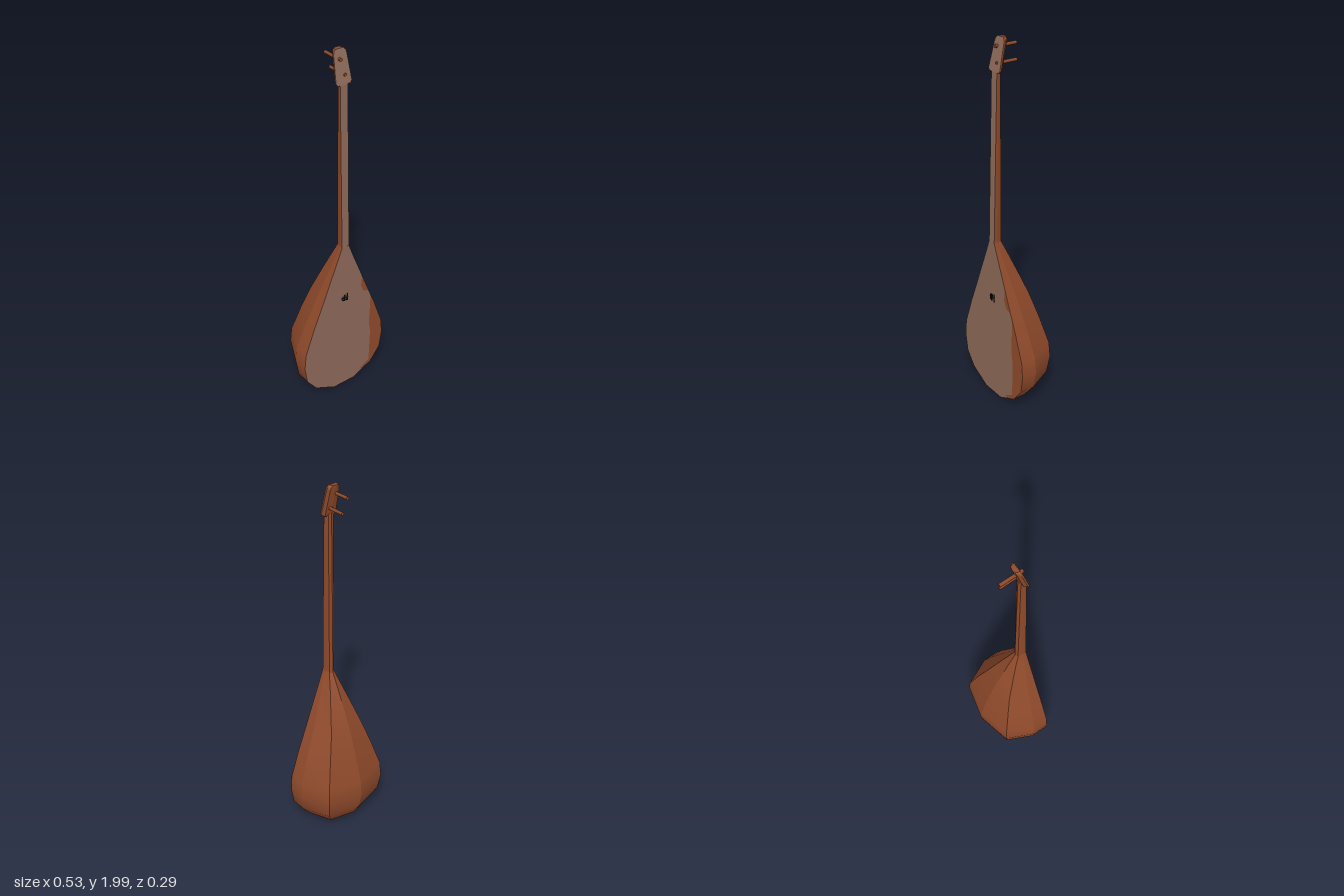
import * as THREE from 'three';

const wood = new THREE.MeshStandardMaterial({ color: 0x8f4a2b, side: THREE.DoubleSide });
wood.name = 'reddish wood';
const face = new THREE.MeshStandardMaterial({ color: 0x8d6a59, side: THREE.DoubleSide });
face.name = 'pale soundboard';
const black = new THREE.MeshStandardMaterial({ color: 0x0a0a0a });
black.name = 'black';

// Faceted half-round section: flat front, two side ribs, central ridge at the back
function section([y, w, back, front = 0.143]) {
  const d = front - back;
  const half = [[w, front], [w, front - 0.31 * d], [0.73 * w, front - 0.84 * d]];
  const pts = [...half, [0, back], ...half.map(([x, z]) => [-x, z]).reverse()];
  return pts.map(([x, z]) => [x, y, z]);
}

// One lengthwise strip between neighbouring section points, smooth along its length
function strip(sections, j) {
  const pos = [], idx = [];
  sections.forEach((s, i) => {
    pos.push(...s[j], ...s[(j + 1) % s.length]);
    if (i > 0) {
      const a = 2 * i - 2;
      idx.push(a, a + 1, a + 2, a + 1, a + 3, a + 2);
    }
  });
  return geometry(pos, idx);
}

function geometry(pos, idx) {
  const g = new THREE.BufferGeometry();
  g.setAttribute('position', new THREE.Float32BufferAttribute(pos, 3));
  g.setIndex(idx);
  g.computeVertexNormals();
  return g;
}

function cap(pts, up) {
  const idx = [];
  for (let k = 1; k < pts.length - 1; k++) idx.push(0, ...(up ? [k, k + 1] : [k + 1, k]));
  return geometry(pts.flat(), idx);
}

function add(parent, name, geo, mat) {
  const m = new THREE.Mesh(geo, mat);
  m.name = name;
  parent.add(m);
  return m;
}

// Closed lofted part with a pale front strip
function loft(name, rows) {
  const g = new THREE.Group();
  g.name = name;
  const s = rows.map(section), n = s[0].length;
  for (let j = 0; j < n; j++) {
    const front = j === n - 1;
    add(g, name + (front ? 'Front' : 'Rib'), strip(s, j), front ? face : wood);
  }
  add(g, name + 'Bottom', cap(s[0], false), wood);
  add(g, name + 'Top', cap(s[s.length - 1], true), wood);
  return g;
}

function plate(points) {
  return new THREE.ShapeGeometry(new THREE.Shape(points.map(p => new THREE.Vector2(...p))));
}

export function createModel() {
  const model = new THREE.Group();
  model.name = 'longNeckedLute';

  // Pear-shaped bowl: height, half width, depth of the ridge
  model.add(loft('bowl', [
    [0.008, 0.07, 0.06], [0.035, 0.12, 0.01], [0.07, 0.19, -0.085], [0.15, 0.25, -0.13],
    [0.25, 0.265, -0.147], [0.34, 0.257, -0.14], [0.5, 0.2, -0.095], [0.64, 0.143, -0.05],
    [0.75, 0.1, -0.003], [0.87, 0.052, 0.05], [0.95, 0.022, 0.088],
  ]));

  // Slender neck, tapering in depth
  model.add(loft('neck', [[0.94, 0.022, 0.086, 0.143], [1.85, 0.022, 0.086, 0.116]]));

  // Headstock leaning back
  model.add(loft('headstock', [
    [1.838, 0.036, 0.092, 0.118], [1.85, 0.045, 0.088, 0.116],
    [1.975, 0.037, 0.058, 0.086], [1.99, 0.033, 0.054, 0.082], [2, 0.022, 0.053, 0.079],
  ]));

  // Bare wood patches along one edge of the soundboard
  const patches = [
    [[0.175, 0.555], [0.17, 0.36], [0.18, 0.3], [0.175, 0.09], [0.11, 0.05], [0.14, 0.045],
      [0.19, 0.07], [0.25, 0.15], [0.265, 0.25], [0.257, 0.34], [0.2, 0.5]],
    [[0.112, 0.715], [0.107, 0.65], [0.125, 0.61], [0.155, 0.6], [0.143, 0.64]],
  ];
  for (const p of patches) add(model, 'barePatch', plate(p), wood).position.z = 0.1445;

  // Sound slots
  const slots = new THREE.Group();
  slots.name = 'soundSlots';
  [[-0.015, 0.03], [-0.005, 0.04], [0.005, 0.035], [0.015, 0.045]].forEach(([x, h]) =>
    add(slots, 'slot', new THREE.BoxGeometry(0.005, h, 0.003), black).position.x = x);
  add(slots, 'crossSlot', new THREE.BoxGeometry(0.042, 0.005, 0.003), black);
  slots.position.set(0, 0.62, 0.144);
  model.add(slots);

  // Tuning pegs through the headstock
  for (const [x, y, z0, z1] of [[-0.009, 1.955, -0.018, 0.104], [0.011, 1.88, -0.005, 0.114]]) {
    const peg = add(model, 'tuningPeg', new THREE.CylinderGeometry(0.009, 0.009, z1 - z0, 6), wood);
    peg.rotation.x = Math.PI / 2;
    peg.position.set(x, y, (z0 + z1) / 2);
  }
  return model;
}
